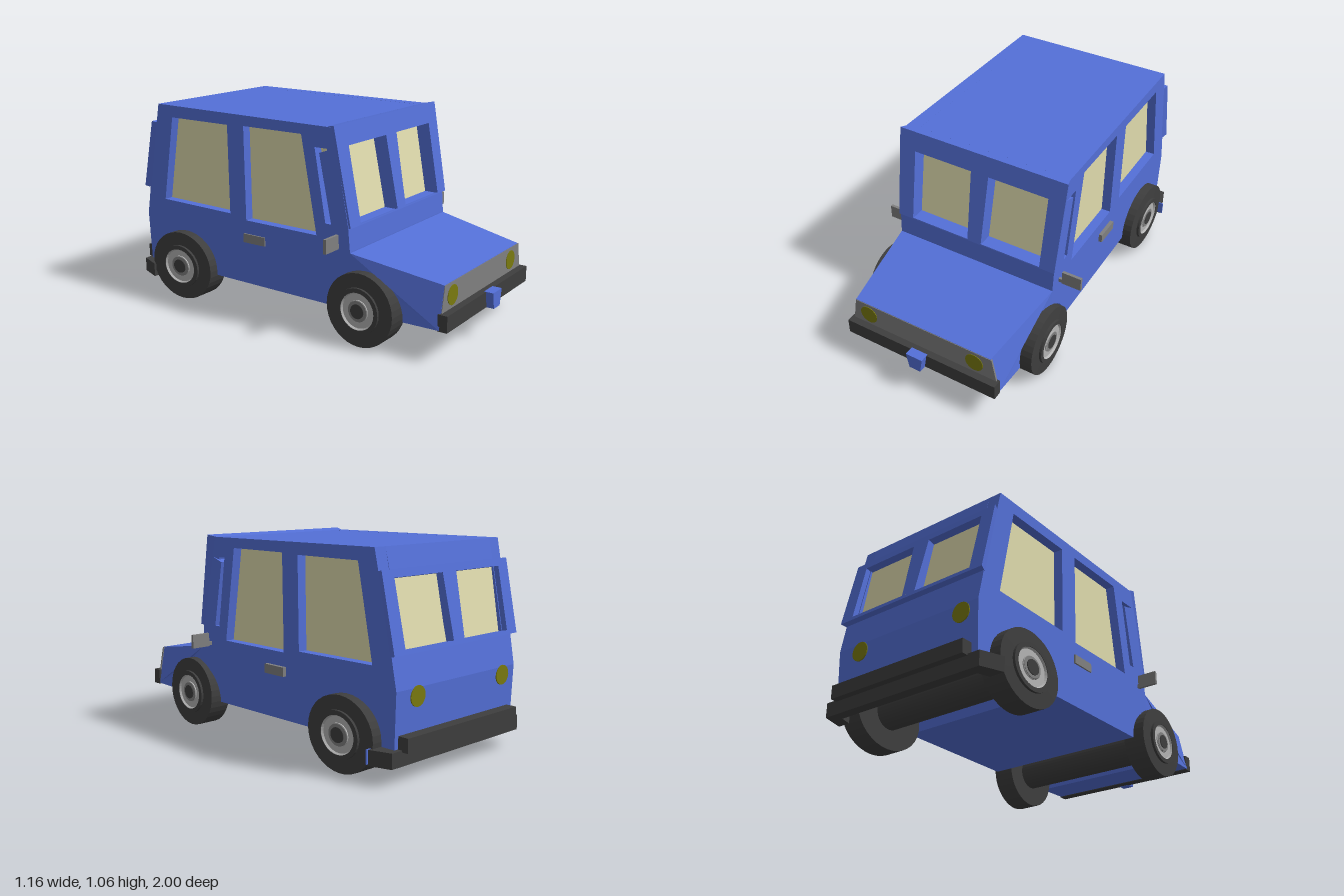
import * as THREE from 'three';

const mat = (color) => new THREE.MeshStandardMaterial({ color, flatShading: true });
const BLUE = mat(0x5470d8), GLASS = mat(0xe0dcae), DARK = mat(0x3e3e3e);
const GREY = mat(0x808080), RIM = mat(0xb4b4b4), LAMP = mat(0x7a7a10);
const BODY_X = -0.006;

function outline(pts, holes = []) {
  const toV = (list) => list.map(([a, b]) => new THREE.Vector2(a, b));
  const shape = new THREE.Shape(toV(pts));
  holes.forEach((h) => shape.holes.push(new THREE.Path(toV(h))));
  return shape;
}

// Extrudes an outline and moves every vertex by a rule; flip restores winding after mirroring
function warped(pts, holes, depth, rule, flip = false) {
  const geo = new THREE.ExtrudeGeometry(outline(pts, holes), { depth, bevelEnabled: false });
  const p = geo.attributes.position;
  for (let i = 0; i < p.count; i++) p.setXYZ(i, ...rule(p.getX(i), p.getY(i), p.getZ(i)));
  if (flip) {
    for (let i = 0; i < p.count; i += 3) {
      const b = [p.getX(i + 1), p.getY(i + 1), p.getZ(i + 1)];
      p.setXYZ(i + 1, p.getX(i + 2), p.getY(i + 2), p.getZ(i + 2));
      p.setXYZ(i + 2, ...b);
    }
  }
  geo.computeVertexNormals();
  return geo;
}

// Half widths of the body at height y and length z
const cabinWidth = (y, z) => 0.452 + 0.012 * (y - 0.16) / 0.9 + 0.014 * z;
const hoodWidth = (y, z) => {
  const t = (z - 0.44) / 0.48;
  return THREE.MathUtils.lerp(cabinWidth(y, 0.44), 0.44 - 0.04 * (y - 0.16) / 0.21, t);
};

export function createModel() {
  const car = new THREE.Group();
  const add = (name, geo, material, x = 0, y = 0, z = 0) => {
    const mesh = new THREE.Mesh(geo, material);
    mesh.name = name;
    mesh.position.set(x, y, z);
    car.add(mesh);
    return mesh;
  };
  const box = (name, w, h, d, material, x, y, z) =>
    add(name, new THREE.BoxGeometry(w, h, d), material, x, y, z);

  // Full-width block from a (z, y) profile
  const block = (name, pts, width, inset, material) =>
    add(name, warped(pts, [], 1, (z, y, t) => [(width(y, z) - inset) * (1 - 2 * t), y, z]), material, BODY_X);
  // Wheel arch points, from angle a0 to a1
  const arch = (cz, a0, a1) => Array.from({ length: 11 }, (_, i) => {
    const a = a0 + (a1 - a0) * i / 10;
    return [cz + 0.215 * Math.cos(a), 0.16 + 0.2 * Math.sin(a)];
  });
  const split = Math.acos((0.44 - 0.515) / 0.215);
  const frontArch = arch(0.515, Math.PI, split), rearArch = arch(-0.65, Math.PI, 0);

  // Bonnet, lower cabin, roof and glazing
  block('hood', [[0.92, 0.16], [0.92, 0.37], [0.44, 0.45], ...arch(0.515, split, 0)], hoodWidth, 0, BLUE);
  block('cabinCore', [...frontArch, [0.44, 0.455], [0.43, 0.575], [-0.92, 0.59], [-0.95, 0.43], [-0.94, 0.16],
    ...rearArch], cabinWidth, 0.07, BLUE);
  block('roof', [[0.285, 0.955], [0.3, 1.05], [-0.82, 1.06], [-0.845, 0.955]], cabinWidth, 0.07, BLUE);
  block('glazing', [[0.384, 0.48], [0.296, 0.95], [0.28, 1.02], [-0.8, 1.02], [-0.835, 0.94], [-0.92, 0.48]],
    cabinWidth, 0.05, GLASS);

  // Cabin sides with window openings
  const frontWindow = [[0.24, 0.505], [-0.215, 0.505], [-0.215, 1.0], [0.155, 1.0]];
  const rearWindow = [[-0.325, 0.525], [-0.807, 0.53], [-0.72, 0.995], [-0.325, 0.995]];
  const quarterSlot = [[0.33, 0.575], [0.295, 0.575], [0.235, 0.945], [0.335, 0.945], [0.262, 0.92]];
  const side = [...frontArch, [0.44, 0.455], [0.43, 0.575], [0.345, 1.05],
    [-0.82, 1.06], [-0.92, 0.59], [-0.95, 0.43], [-0.94, 0.16], ...rearArch];
  for (const s of [1, -1]) {
    add('cabinSide', warped(side, [frontWindow, rearWindow, quarterSlot], 0.07,
      (z, y, t) => [s * (cabinWidth(y, z) - t), y, z], s < 0), BLUE, BODY_X);
  }

  // Leaning windscreen and tailgate frames: two deep openings, outer flange sinking into the body
  const frame = (name, pts, y0, y1, baseZ, lean, depth) => {
    const holes = [1, -1].map((s) => [[s * 0.04, y0], [s * 0.38, y0], [s * 0.385, y1], [s * 0.05, y1]]);
    return add(name, warped(pts, holes, depth, (x, y, t) => {
      const back = depth - t;
      return [Math.abs(x) > 0.42 ? x * (1 - 0.7 * back) : x, y - lean * back, baseZ - lean * (y - pts[0][1]) - back];
    }), BLUE);
  };
  frame('windscreenFrame', [[-0.47, 0.572], [0.465, 0.572], [0.478, 1.06], [-0.482, 1.06]], 0.578, 0.955, 0.445, 0.186, 0.08);
  const tailgate = frame('tailgateFrame', [[-0.457, 0.59], [0.457, 0.59], [0.46, 0.962], [-0.46, 0.962]],
    0.61, 0.925, 0.95, 0.216, 0.045);
  tailgate.rotation.y = Math.PI;
  tailgate.position.x = BODY_X;

  // Grille, front bumper and plate
  add('grille', new THREE.ExtrudeGeometry(outline([[-0.43, 0.235], [0.425, 0.235], [0.4, 0.368], [-0.405, 0.368]]),
    { depth: 0.01, bevelEnabled: false }), GREY, 0, 0, 0.913);
  box('frontBumper', 0.88, 0.083, 0.05, DARK, -0.003, 0.197, 0.935);
  add('frontPlate', new THREE.ExtrudeGeometry(outline([[-0.035, 0.155], [0.03, 0.155], [0.045, 0.24], [-0.05, 0.24]]),
    { depth: 0.05, bevelEnabled: false }), BLUE, 0, 0, 0.95);

  // Rear bumper: straight bar above a wrap-round blade with a painted inner face
  box('rearBumperBar', 0.82, 0.07, 0.06, DARK, 0, 0.19, -0.97);
  const blade = new THREE.ExtrudeGeometry(outline([
    [-0.475, 0.965], [0.475, 0.965], [0.51, 0.85], [0.44, 0.85], [0.42, 0.91], [-0.42, 0.91], [-0.44, 0.85], [-0.52, 0.85],
  ]), { depth: 0.075, bevelEnabled: false });
  blade.rotateX(-Math.PI / 2);
  add('rearBumperBlade', blade, DARK, 0, 0.088, 0);
  box('bumperInnerFace', 0.82, 0.06, 0.01, BLUE, 0, 0.128, -0.906);
  box('bumperEndCap', 0.03, 0.07, 0.006, BLUE, 0.503, 0.13, -0.849);

  // Lamps
  const lamp = new THREE.CylinderGeometry(0.05, 0.05, 0.02, 20);
  lamp.rotateX(Math.PI / 2);
  for (const x of [-0.328, 0.302]) add('headlamp', lamp, LAMP, x, 0.303, 0.916);
  for (const x of [-0.35, 0.29]) add('tailLamp', lamp, LAMP, x, 0.39, -0.943);

  // Door handles and mirrors
  for (const s of [1, -1]) {
    box('doorHandle', 0.03, 0.047, 0.14, GREY, s * 0.452, 0.41, -0.16);
    box('mirror', 0.105, 0.072, 0.016, GREY, s * 0.527, 0.497, 0.37);
    box('mirrorStalk', 0.04, 0.02, 0.014, GREY, s * 0.465, 0.475, 0.37);
  }

  // Wheels and axles
  const lathe = (pts) => new THREE.LatheGeometry(pts.map(([r, h]) => new THREE.Vector2(r, h)), 36);
  const wheelParts = [
    ['tyre', lathe([[0, 0], [0.187, 0], [0.187, 0.117], [0.117, 0.121], [0.117, 0.134], [0.095, 0.134], [0.09, 0.118]]), DARK],
    ['rim', lathe([[0.095, 0.133], [0.088, 0.122], [0.056, 0.122], [0.056, 0.128], [0, 0.128]]), RIM],
    ['hubRing', lathe([[0.056, 0.126], [0.052, 0.13], [0, 0.13]]), GREY],
    ['hubCap', lathe([[0.037, 0.125], [0.037, 0.134], [0, 0.134]]), DARK],
  ];
  const axleGeo = new THREE.CylinderGeometry(0.085, 0.085, 0.8, 32);
  axleGeo.rotateZ(Math.PI / 2);
  for (const [end, z, stretch] of [['front', 0.517, 1], ['rear', -0.65, 1.14]]) {
    add(end + 'Axle', axleGeo, DARK, 0, 0.188, z);
    for (const s of [1, -1]) {
      const wheel = new THREE.Group();
      wheel.name = end + 'Wheel';
      wheel.position.set(s * 0.381 - 0.008, 0.187, z);
      wheel.rotation.z = -s * Math.PI / 2;
      wheel.scale.z = stretch;
      for (const [name, geo, material] of wheelParts) {
        const part = new THREE.Mesh(geo, material);
        part.name = name;
        wheel.add(part);
      }
      car.add(wheel);
    }
  }
  return car;
}
